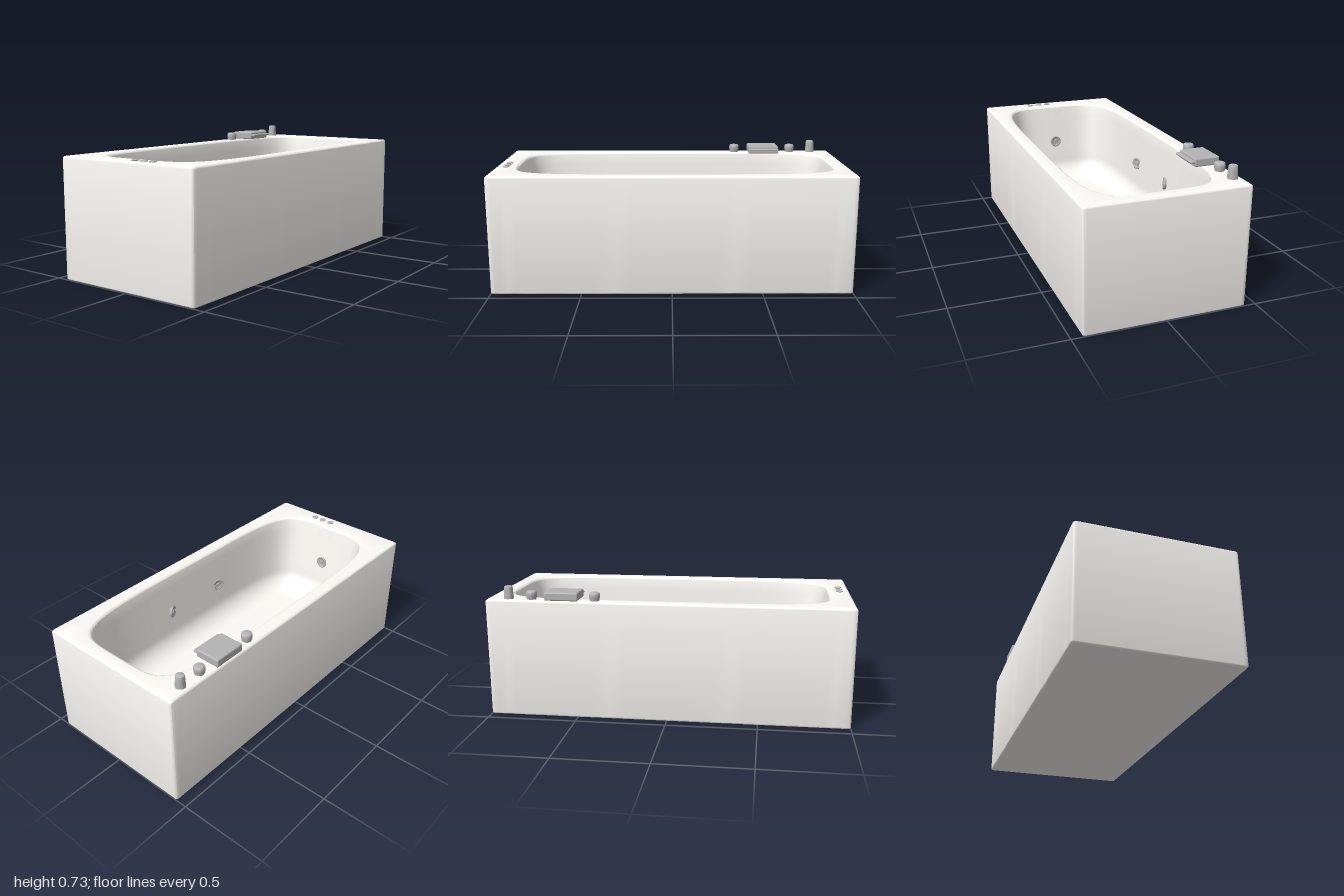
import * as THREE from 'three';
import { toCreasedNormals } from 'three/addons/utils/BufferGeometryUtils.js';
import { RoundedBoxGeometry } from 'three/addons/geometries/RoundedBoxGeometry.js';

const TOP = 0.66, FLOOR = 0.17, RIM_Z = -0.39;
const enamel = new THREE.MeshStandardMaterial({ color: 0xfcfaf5 });
const metal = new THREE.MeshStandardMaterial({ color: 0xb4b4b4 });

function addMesh(parent, name, geometry, material, x = 0, y = 0, z = 0) {
  const mesh = new THREE.Mesh(geometry, material);
  mesh.name = name;
  mesh.position.set(x, y, z);
  parent.add(mesh);
  return mesh;
}

// Unit square outline, denser towards the corners
const PER_SIDE = 28;
const square = [];
for (let side = 0; side < 4; side++) {
  for (let k = 0; k < PER_SIDE; k++) {
    const p = new THREE.Vector2(1, Math.sin((k / PER_SIDE - 0.5) * Math.PI));
    square.push(p.rotateAround(new THREE.Vector2(), side * Math.PI / 2));
  }
}

// Rounded rectangle ring for the casing
function casingRing(inset, y, radius = 0.012) {
  const half = new THREE.Vector2(1 - inset, 0.44 - inset);
  const core = half.clone().subScalar(radius);
  return square.map(p => {
    const point = p.clone().multiply(half);
    const centre = point.clone().clamp(core.clone().negate(), core);
    const q = point.sub(centre).setLength(radius).add(centre);
    return [q.x, y, q.y];
  });
}

// Superellipse ring for the basin
function basinRing(left, right, half, y) {
  return square.map(({ x: u, y: v }) => {
    const s = Math.pow(Math.abs(u) ** 5 + Math.abs(v) ** 5, -1 / 5);
    return [(left + right) / 2 + u * s * (right - left) / 2, y, v * s * half];
  });
}

// Skin a surface over successive rings
function loft(rings) {
  const index = [], count = square.length;
  for (let r = 1; r < rings.length; r++) {
    for (let i = 0; i < count; i++) {
      const j = (i + 1) % count, a = (r - 1) * count, b = r * count;
      index.push(a + i, b + i, a + j, a + j, b + i, b + j);
    }
  }
  const geometry = new THREE.BufferGeometry();
  geometry.setAttribute('position', new THREE.Float32BufferAttribute(rings.flat(2), 3));
  geometry.setIndex(index);
  return toCreasedNormals(geometry, 0.6);
}

function lathe(points, segments = 32) {
  return toCreasedNormals(new THREE.LatheGeometry(points.map(p => new THREE.Vector2(...p)), segments), 0.6);
}

// Casing, rim and basin as one continuous skin
function tubGeometry() {
  const rings = [basinRing(-0.001, 0.001, 0.001, 0), casingRing(0.03, 0)];
  for (let k = 0; k <= 3; k++) {
    const a = k / 3 * Math.PI / 2;
    rings.push(casingRing(0.009 * (1 - Math.sin(a)), 0.009 * (1 - Math.cos(a))));
  }
  for (let k = 0; k <= 3; k++) {
    const a = k / 3 * Math.PI / 2;
    rings.push(casingRing(0.012 * (1 - Math.cos(a)), TOP - 0.012 * (1 - Math.sin(a))));
  }
  const inner = (dl, dr, dz, y) => rings.push(basinRing(-0.875 + dl, 0.915 - dr, 0.357 - dz, y));
  // rolled lip
  for (let k = 0; k <= 6; k++) {
    const a = k / 6 * Math.PI / 2, d = -0.018 * (1 - Math.sin(a));
    inner(d, d, d, TOP - 0.018 * (1 - Math.cos(a)));
  }
  // sloping walls
  const wallTop = TOP - 0.018, wallEnd = FLOOR + 0.13;
  for (let k = 1; k <= 6; k++) {
    const t = k / 6;
    inner(0.06 * t, 0.046 * t, 0.025 * t, wallTop + (wallEnd - wallTop) * t);
  }
  // rounded transition into the floor
  for (let k = 1; k <= 10; k++) {
    const a = k / 10 * Math.PI / 2, c = 1 - Math.cos(a);
    inner(0.06 + 0.15 * c, 0.046 + 0.13 * c, 0.025 + 0.13 * c, FLOOR + 0.13 * (1 - Math.sin(a)));
  }
  for (const s of [0.6, 0.25, 0.002]) {
    rings.push(basinRing(-0.665 * s, 0.739 * s, 0.202 * s, FLOOR));
  }
  return loft(rings);
}

export function createModel() {
  const model = new THREE.Group();
  model.name = 'bathtub';
  addMesh(model, 'tub', tubGeometry(), enamel);

  // Tap knobs
  const knob = lathe([[0, 0], [0.026, 0], [0.027, 0.008], [0.029, 0.016], [0.03, 0.028],
    [0.029, 0.038], [0.026, 0.043], [0.02, 0.046], [0, 0.047]]);
  [0.398, 0.75].forEach(x => addMesh(model, 'tapKnob', knob, metal, x, TOP, RIM_Z));

  // Hand shower standing in its socket
  addMesh(model, 'handShower', lathe([[0, 0], [0.027, 0], [0.027, 0.012], [0.025, 0.035], [0.024, 0.06],
    [0.022, 0.067], [0.018, 0.07], [0, 0.071]]), metal, 0.88, TOP, RIM_Z);

  // Flat waterfall spout: block with an outlet blade
  const spout = new THREE.Group();
  spout.name = 'spout';
  spout.position.set(0.575, TOP, 0);
  addMesh(spout, 'spoutBlock', new RoundedBoxGeometry(0.186, 0.046, 0.142, 3, 0.008), metal, 0, 0.0235, -0.364);
  addMesh(spout, 'spoutBlade', new RoundedBoxGeometry(0.184, 0.014, 0.06, 3, 0.006), metal, 0, 0.026, -0.3);
  model.add(spout);

  // Control buttons on the end rim
  const button = lathe([[0, 0], [0.019, 0], [0.02, 0.003], [0.018, 0.005], [0.01, 0.006], [0, 0.006]], 24);
  [0.028, 0.088, 0.147].forEach(z => addMesh(model, 'controlButton', button, metal, -0.943, TOP, z));

  // Massage jets: shallow dished disc, aimed into the basin
  const jet = lathe([[0, -0.015], [0.03, -0.015], [0.036, -0.003], [0.036, 0.001], [0.032, 0.004], [0.026, 0.002],
    [0.015, -0.002], [0.012, -0.001], [0.012, 0.004], [0.009, 0.006], [0, 0.006]], 28);
  const up = new THREE.Vector3(0, 1, 0);
  function addJet(x, z, nx, nz) {
    const mesh = addMesh(model, 'jet', jet, metal, x, 0.42, z);
    mesh.quaternion.setFromUnitVectors(up, new THREE.Vector3(nx, 0.05, nz).normalize());
  }
  for (const side of [-1, 1]) {
    addJet(-0.178, side * 0.333, 0.42, -side);
    addJet(0.22, side * 0.333, -0.42, -side);
  }
  addJet(-0.832, 0, 1, 0);
  addJet(0.88, 0, -1, 0);
  return model;
}
